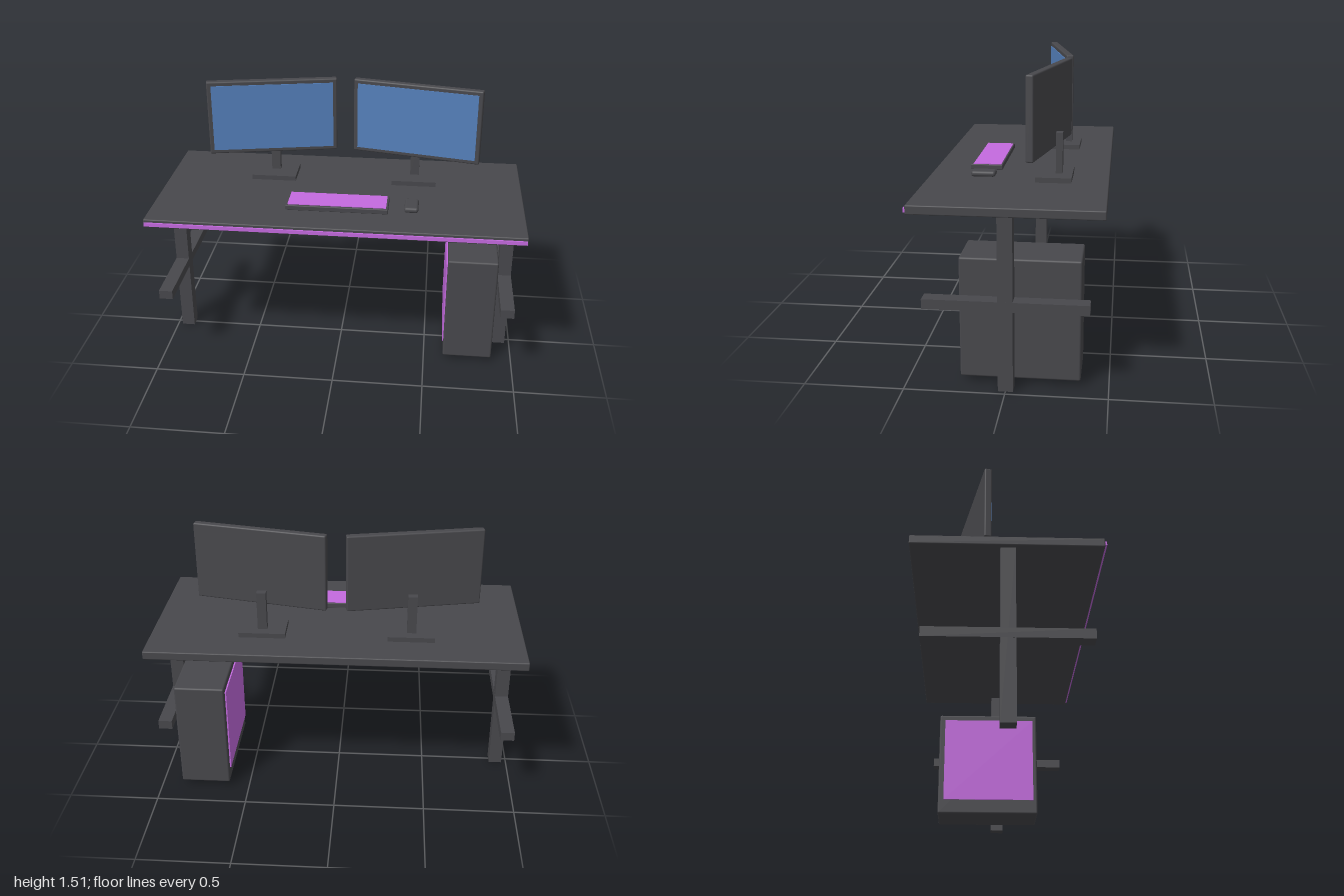
import * as THREE from 'three';
import { RoundedBoxGeometry } from 'three/addons/geometries/RoundedBoxGeometry.js';

const dark = new THREE.MeshStandardMaterial({ color: 0x48484c });
const purple = new THREE.MeshStandardMaterial({ color: 0xc46adf });
const blue = new THREE.MeshStandardMaterial({ color: 0x5580bb });

// Box given by its size and centre; a radius rounds its edges
function box(name, size, pos, mat = dark, radius = 0) {
  const geo = radius ? new RoundedBoxGeometry(...size, 2, radius) : new THREE.BoxGeometry(...size);
  const mesh = new THREE.Mesh(geo, mat);
  mesh.name = name;
  mesh.position.set(...pos);
  return mesh;
}

// Upright post with a horizontal crossbar
function createLeg(side) {
  const leg = new THREE.Group();
  leg.name = side > 0 ? 'leftLeg' : 'rightLeg';
  leg.add(
    box('legPost', [0.074, 0.893, 0.074], [0, 0.4465, 0]),
    box('legCrossbar', [0.0745, 0.05, 0.81], [0, 0.439, 0])
  );
  leg.position.x = side * 0.937;
  return leg;
}

// Screen on a stand, turned inward towards the user
function createMonitor(side) {
  const monitor = new THREE.Group();
  monitor.name = side > 0 ? 'leftMonitor' : 'rightMonitor';

  const display = new THREE.Group();
  display.name = 'display';
  display.add(
    box('displayCasing', [0.72, 0.422, 0.04], [0, 0, 0], dark, 0.008),
    box('displayScreen', [0.673, 0.376, 0.006], [0, 0, 0.021], blue)
  );
  display.position.set(side * 0.403, 1.304, -0.164);
  display.rotation.y = -side * 0.2;

  monitor.add(
    display,
    box('standBase', [0.25, 0.027, 0.185], [side * 0.398, 0.95, -0.19]),
    box('standPost', [0.05, 0.215, 0.035], [side * 0.4, 1.068, -0.213])
  );
  return monitor;
}

export function createModel() {
  const model = new THREE.Group();
  model.name = 'computerDesk';

  // Desk
  model.add(
    box('deskTop', [2, 0.046, 0.936], [0, 0.914, -0.004], dark, 0.006),
    box('lightStrip', [1.99, 0.02, 0.012], [0, 0.911, 0.467], purple)
  );
  for (const side of [-1, 1]) model.add(createLeg(side), createMonitor(side));

  // Keyboard and mouse
  model.add(
    box('keyboard', [0.55, 0.028, 0.171], [0, 0.95, 0.187], dark, 0.004),
    box('keys', [0.529, 0.008, 0.15], [0, 0.963, 0.184], purple),
    box('mouse', [0.075, 0.03, 0.128], [0.398, 0.951, 0.182], dark, 0.013)
  );

  // Computer case with a lit inner side panel
  model.add(
    box('computerCase', [0.275, 0.623, 0.598], [0.747, 0.339, -0.062], dark, 0.01),
    box('sidePanel', [0.01, 0.505, 0.54], [0.607, 0.363, -0.058], purple)
  );

  return model;
}
